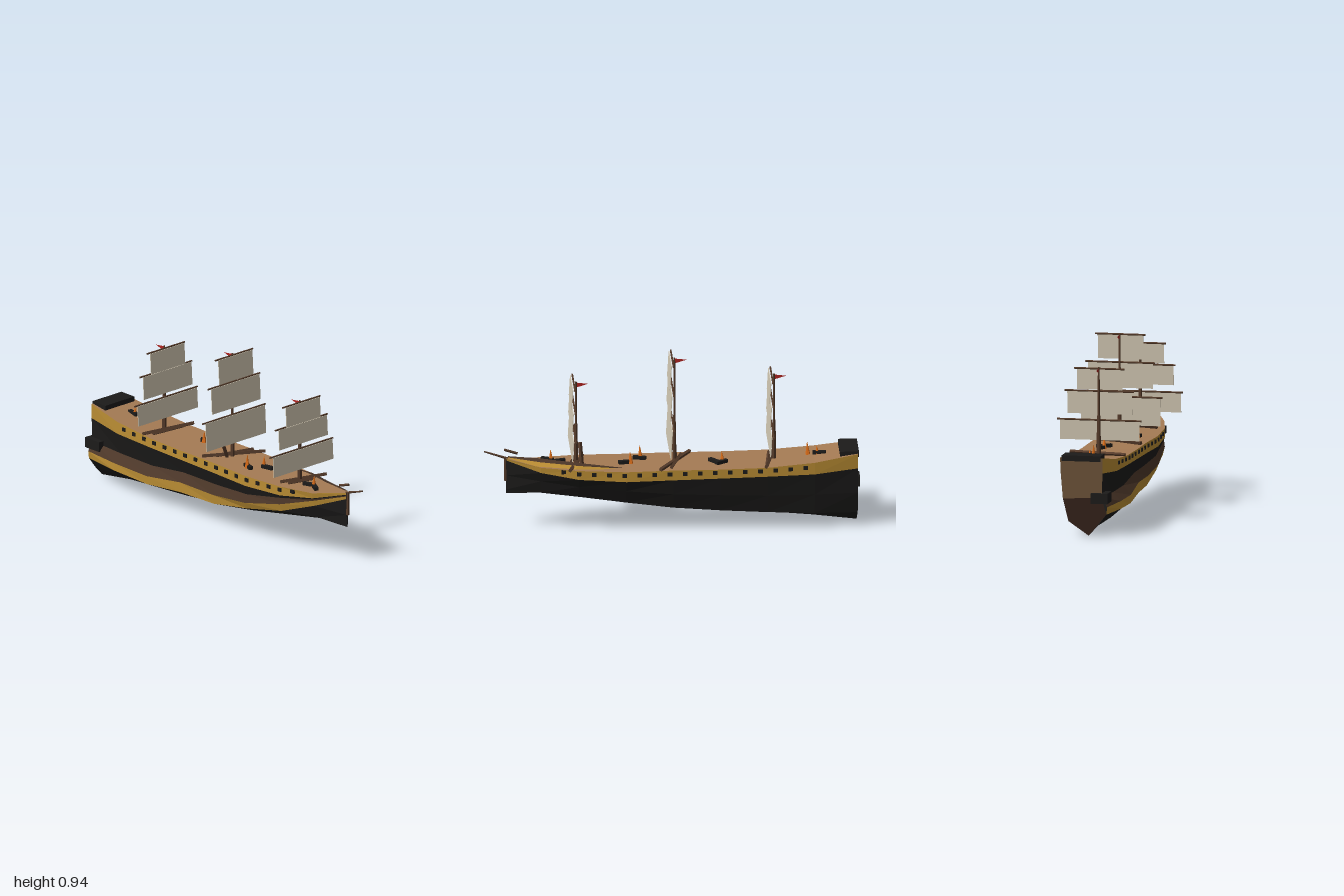
import * as THREE from 'three';

const mat = (color) => new THREE.MeshStandardMaterial({ color, flatShading: true, side: THREE.DoubleSide });
const BLACK = mat(0x1c1b1a), GOLD = mat(0xb98c33), BROWN = mat(0x4b3628), TAN = mat(0xa57b54);
const WOOD = mat(0x553b2a), SAIL = mat(0xd6ccb6), RED = mat(0xb02420), FIRE = mat(0xe0701a);
const PANEL = mat(0x6b5238), RUDDER = mat(0x33211a);

// Hull stations along the ship, stern to bow
const X = [-0.98, -0.75, -0.5, -0.25, 0, 0.25, 0.5, 0.7, 0.88];
const rail = (ys, zs, side = 1) => X.map((x, i) => [x, ys[i], zs[i] * side]);

const topY = [0.42, 0.385, 0.365, 0.36, 0.36, 0.355, 0.36, 0.365, 0.395];
const bandY = [0.34, 0.32, 0.315, 0.31, 0.305, 0.3, 0.31, 0.335, 0.385];
const keel = rail([0.005, 0.035, 0.06, 0.085, 0.115, 0.145, 0.175, 0.2, 0.2],
  [0.04, 0.035, 0.03, 0.025, 0.02, 0.015, 0.01, 0, 0]);

// Rails of the left-hand (+z) side: lower hull is pushed outward into a ledge
const P = [
  rail(topY, [0.115, 0.14, 0.145, 0.145, 0.145, 0.15, 0.135, 0.09, 0.01]),
  rail(bandY, [0.115, 0.142, 0.148, 0.148, 0.148, 0.152, 0.135, 0.085, 0.01]),
  rail([0.21, 0.205, 0.205, 0.235, 0.235, 0.25, 0.295, 0.33, 0.38],
    [0.11, 0.12, 0.125, 0.13, 0.13, 0.14, 0.13, 0.083, 0.009]),
  rail([0.16, 0.16, 0.155, 0.185, 0.18, 0.205, 0.26, 0.32, 0.375],
    [0.14, 0.165, 0.165, 0.155, 0.15, 0.155, 0.135, 0.08, 0.008]),
  rail([0.12, 0.12, 0.11, 0.13, 0.13, 0.17, 0.22, 0.29, 0.36],
    [0.135, 0.168, 0.163, 0.155, 0.145, 0.14, 0.125, 0.075, 0.007]),
  rail([0.06, 0.07, 0.085, 0.1, 0.12, 0.15, 0.19, 0.22, 0.27],
    [0.09, 0.11, 0.11, 0.11, 0.1, 0.1, 0.08, 0.05, 0.006]),
  keel,
];
// Rails of the far (-z) side
const Q = [
  rail(topY, [0.115, 0.14, 0.148, 0.15, 0.15, 0.15, 0.13, 0.08, 0.012], -1),
  rail(bandY, [0.112, 0.14, 0.148, 0.15, 0.15, 0.152, 0.13, 0.078, 0.01], -1),
  rail([0.2, 0.2, 0.2, 0.21, 0.22, 0.24, 0.26, 0.28, 0.3],
    [0.1, 0.12, 0.125, 0.13, 0.13, 0.125, 0.1, 0.055, 0.005], -1),
  rail([0.08, 0.09, 0.1, 0.115, 0.135, 0.165, 0.195, 0.21, 0.22],
    [0.07, 0.1, 0.1, 0.1, 0.1, 0.09, 0.07, 0.035, 0.003], -1),
  keel,
];

// Ruled strip between two rails with equal point counts
function strip(name, a, b, material) {
  const pos = [];
  for (let i = 0; i < a.length - 1; i++)
    pos.push(...a[i], ...b[i], ...b[i + 1], ...a[i], ...b[i + 1], ...a[i + 1]);
  const g = new THREE.BufferGeometry();
  g.setAttribute('position', new THREE.Float32BufferAttribute(pos, 3));
  g.computeVertexNormals();
  const m = new THREE.Mesh(g, material);
  m.name = name;
  return m;
}

function box(name, size, at, material, rot = [0, 0, 0]) {
  const m = new THREE.Mesh(new THREE.BoxGeometry(...size), material);
  m.name = name;
  m.position.set(...at);
  m.rotation.set(...rot);
  return m;
}

// Round spar running between two points
function spar(name, from, to, r0, r1 = r0, material = WOOD, sides = 6) {
  const a = new THREE.Vector3(...from), b = new THREE.Vector3(...to), d = b.clone().sub(a);
  const m = new THREE.Mesh(new THREE.CylinderGeometry(r1, r0, d.length(), sides), material);
  m.name = name;
  m.position.copy(a).add(b).multiplyScalar(0.5);
  m.quaternion.setFromUnitVectors(new THREE.Vector3(0, 1, 0), d.normalize());
  return m;
}

// Height or width of a rail at any x
function railAt(r, x, k) {
  let i = 0;
  while (i < X.length - 2 && x > X[i + 1]) i++;
  return THREE.MathUtils.lerp(r[i][k], r[i + 1][k], (x - X[i]) / (X[i + 1] - X[i]));
}

function hull() {
  const g = new THREE.Group();
  g.name = 'hull';
  [GOLD, BLACK, BROWN, GOLD, BLACK, BLACK].forEach((m, i) => g.add(strip('leftPlanking' + i, P[i], P[i + 1], m)));
  [GOLD, BLACK, BLACK, BLACK].forEach((m, i) => g.add(strip('rightPlanking' + i, Q[i], Q[i + 1], m)));
  g.add(strip('deck', P[0], Q[0], TAN));

  // Flat stern and stem closing the two ends
  const end = (list, i) => list.map((r) => r[i]);
  g.add(strip('transom', end(P, 0).slice(0, 3), end(Q, 0).slice(0, 3), PANEL));
  g.add(strip('lowerStern', [P[2][0], P[4][0], keel[0]], [Q[2][0], Q[3][0], keel[0]], RUDDER));
  g.add(strip('stem', [P[0][8], P[5][8], keel[8]], [Q[0][8], Q[3][8], keel[8]], BLACK));
  g.add(box('stemPost', [0.012, 0.13, 0.014], [0.884, 0.335, 0], WOOD));
  g.add(box('sternCabin', [0.1, 0.03, 0.21], [-0.935, 0.417, 0], BLACK));
  g.add(box('quarterGallery', [0.11, 0.055, 0.09], [-0.945, 0.207, 0.1], BLACK));

  // Buckled bow planking leaning in over the deck
  const inner = [[0.27, 0.364, -0.1], [0.5, 0.385, -0.07], [0.7, 0.397, -0.02], [0.87, 0.404, 0.005]];
  const mid = [[0.3, 0.362, -0.1], [0.5, 0.378, -0.1], [0.7, 0.387, -0.055], [0.87, 0.402, -0.01]];
  const outer = [[0.38, 0.36, -0.11], [0.52, 0.365, -0.115], [0.72, 0.37, -0.075], [0.87, 0.398, -0.013]];
  g.add(strip('buckledPlanking', inner, mid, BROWN), strip('buckledRail', mid, outer, GOLD));

  // Gun ports and lids along both sides
  for (let x = -0.7; x < 0.62; x += 0.08)
    for (const R of [P, Q]) {
      const y = (railAt(R[0], x, 1) + railAt(R[1], x, 1)) / 2 + 0.008;
      g.add(box('gunPort', [0.024, 0.02, 0.012], [x, y, railAt(R[0], x, 2)], BLACK));
    }
  return g;
}

// Mast with three square sails; each row is [yard height, sail drop, half width]
function mast(name, x, top, rows) {
  const g = new THREE.Group();
  g.name = name;
  g.add(spar('lowerMast', [x, 0.34, 0], [x, 0.58, 0], 0.012, 0.01));
  g.add(spar('upperMast', [x, 0.57, 0], [x, top, 0], 0.007, 0.005));
  for (const [y, drop, w] of rows) {
    const yardW = w + 0.013;
    g.add(spar('yard', [x + 0.012, y, -yardW], [x + 0.012, y, yardW], 0.005));
    g.add(box('sail', [0.004, drop, w * 2], [x + 0.026, y - drop / 2, 0], SAIL, [0, 0, 0.06]));
  }
  const pennant = new THREE.Shape([[0, 0.014], [0, -0.014], [-0.065, 0.006]].map((p) => new THREE.Vector2(...p)));
  const flag = new THREE.Mesh(new THREE.ShapeGeometry(pennant), RED);
  flag.name = 'pennant';
  flag.position.set(x, top - 0.018, 0);
  g.add(flag);
  return g;
}

function wreckage() {
  const g = new THREE.Group();
  g.name = 'deckWreckage';
  // Fallen spars lying across the deck
  for (const [a, b] of [
    [[-0.55, 0.375, 0.145], [-0.49, 0.375, -0.165]], [[-0.52, 0.372, 0.1], [-0.5, 0.372, -0.1]],
    [[-0.1, 0.37, 0.135], [0.07, 0.37, -0.16]], [[-0.05, 0.372, 0.08], [0.01, 0.372, -0.13]],
    [[0.47, 0.37, 0.1], [0.55, 0.372, -0.155]], [[0.51, 0.37, 0.08], [0.55, 0.37, -0.06]],
    [[-0.02, 0.36, 0.03], [-0.01, 0.445, 0.07]], [[0.48, 0.36, -0.03], [0.49, 0.48, -0.01]],
  ]) g.add(spar('fallenSpar', a, b, 0.011, 0.011, WOOD, 4));

  // Overturned guns
  for (const [x, y, z, r] of [[-0.26, 0.37, -0.05, 0.6], [-0.22, 0.37, -0.03, -0.9], [0.17, 0.365, 0.055, -0.3],
    [0.25, 0.365, -0.01, 0.2], [-0.78, 0.395, 0, -0.15], [0.6, 0.37, 0.015, 0.3], [0.66, 0.375, 0.03, -0.5]])
    g.add(box('brokenGun', [0.07, 0.018, 0.022], [x, y, z], BLACK, [0, r, 0]));

  // Small fires
  for (const [x, y, z, h] of [[-0.77, 0.38, 0, 0.05], [-0.72, 0.38, 0.01, 0.07], [-0.265, 0.36, -0.03, 0.06],
    [0.165, 0.355, 0.06, 0.075], [0.22, 0.355, -0.01, 0.065], [0.64, 0.365, 0.02, 0.065]])
    g.add(spar('flame', [x, y, z], [x + 0.004, y + h, z], 0.014, 0.001, FIRE, 5));
  return g;
}

export function createModel() {
  const g = new THREE.Group();
  g.name = 'wreckedSailingShip';
  g.add(hull(), wreckage());
  g.add(mast('mizzenMast', -0.54, 0.84, [[0.83, 0.115, 0.123], [0.71, 0.125, 0.175], [0.555, 0.11, 0.215]]));
  g.add(mast('mainMast', -0.012, 0.94, [[0.935, 0.135, 0.123], [0.785, 0.14, 0.175], [0.6, 0.155, 0.215]]));
  g.add(mast('foreMast', 0.51, 0.815, [[0.81, 0.11, 0.123], [0.695, 0.11, 0.175], [0.55, 0.11, 0.215]]));
  // Snapped bowsprit
  g.add(spar('bowspritStump', [0.82, 0.42, 0], [0.89, 0.442, 0], 0.007));
  g.add(spar('bowsprit', [0.87, 0.392, 0], [0.997, 0.434, 0], 0.007, 0.004));
  return g;
}
